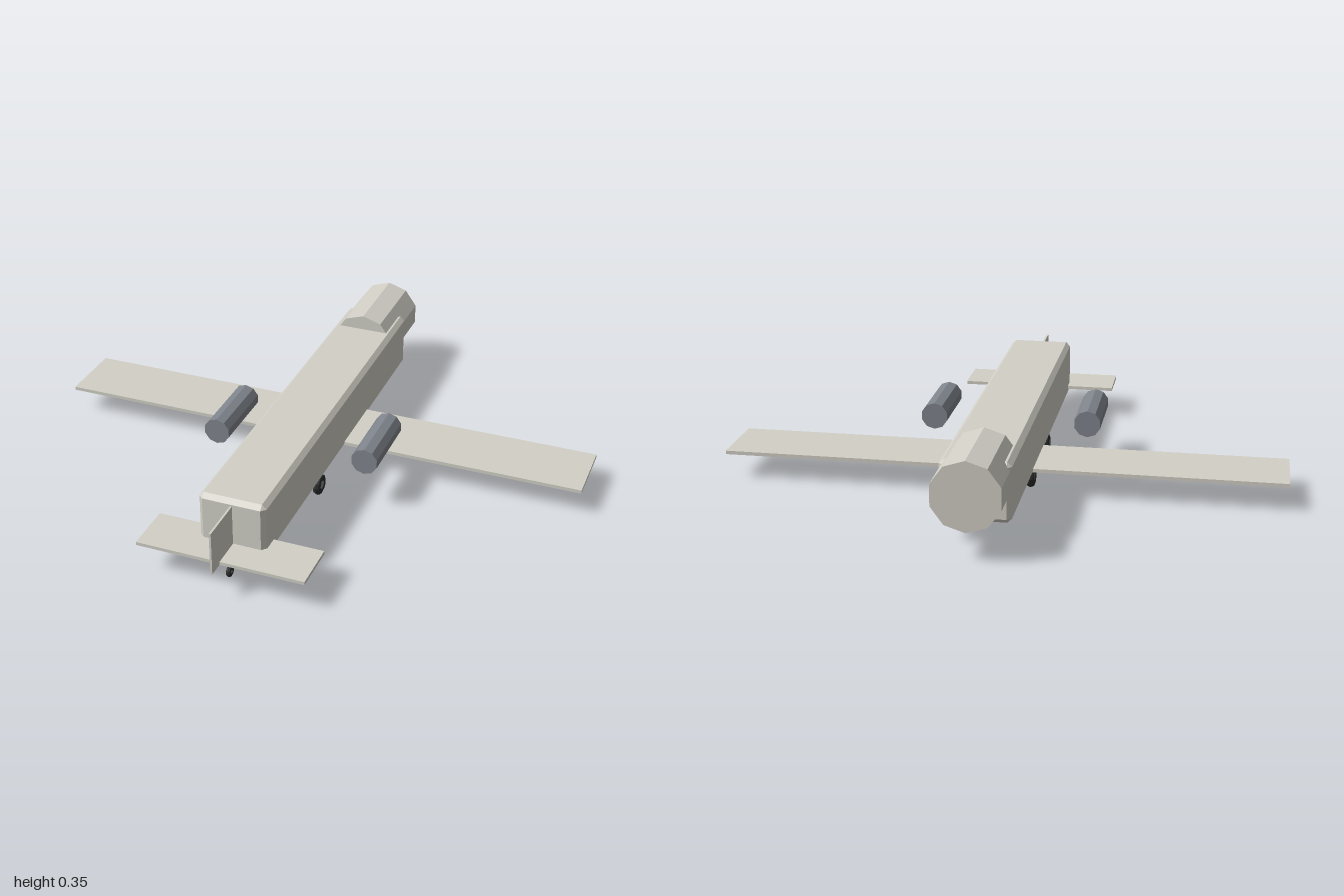
import * as THREE from 'three';
import { ConvexGeometry } from 'three/addons/geometries/ConvexGeometry.js';

const mat = (name, color) => {
  const m = new THREE.MeshStandardMaterial({ color });
  m.name = name;
  return m;
};

// Faceted normals for low-poly parts
function faceted(geo) {
  const g = geo.index ? geo.toNonIndexed() : geo;
  g.computeVertexNormals();
  return g;
}

// Box with chamfered edges, as the hull of 24 corner points
function chamferBox(w, h, d, c) {
  const pts = [];
  for (const x of [-w / 2, w / 2])
    for (const y of [-h / 2, h / 2])
      for (const z of [-d / 2, d / 2]) {
        const ix = x - Math.sign(x) * c, iy = y - Math.sign(y) * c, iz = z - Math.sign(z) * c;
        pts.push(
          new THREE.Vector3(x, iy, iz),
          new THREE.Vector3(ix, y, iz),
          new THREE.Vector3(ix, iy, z)
        );
      }
  return new ConvexGeometry(pts);
}

export function createModel() {
  const model = new THREE.Group();
  model.name = 'aircraft';
  const body = mat('warm light grey', 0xd2d0c6);
  const engineGrey = mat('engine grey', 0x80858d);
  const rubber = mat('tyre black', 0x2b2f2e);
  const hubGrey = mat('hub grey', 0x858a88);

  function add(name, geo, material, x, y, z, parent = model) {
    const mesh = new THREE.Mesh(geo, material);
    mesh.name = name;
    mesh.position.set(x, y, z);
    parent.add(mesh);
    return mesh;
  }

  // Ten-sided drum along z with one ridge at the top
  const drum = (r, length) =>
    faceted(new THREE.CylinderGeometry(r, r, length, 10).rotateX(Math.PI / 2));

  // Fuselage and drum at its end
  add('fuselage', chamferBox(0.238, 0.208, 1.448, 0.016), body, 0, 0.186, -0.008);
  add('noseDrum', drum(0.12, 0.32), body, 0, 0.227, -0.72);
  add('nosePin', new THREE.BoxGeometry(0.164, 0.011, 0.018), rubber, 0, 0.138, -0.79);

  // Flying surfaces
  add('wing', new THREE.BoxGeometry(2, 0.013, 0.25), body, 0, 0.099, -0.155);
  add('tailplane', new THREE.BoxGeometry(0.596, 0.012, 0.178), body, 0, 0.115, 0.735);
  add('fin', new THREE.BoxGeometry(0.007, 0.158, 0.2), body, 0, 0.189, 0.78);

  // Engines
  for (const [side, s] of [['left', 1], ['right', -1]])
    add(side + 'Engine', drum(0.049, 0.267), engineGrey, s * 0.28, 0.202, 0.08);

  // Wheel: faceted tyre round a hub, axle along x
  function wheel(name, x, y, z, r, tube) {
    const g = new THREE.Group();
    g.name = name;
    g.position.set(x, y, z);
    const tyre = new THREE.TorusGeometry(r - tube, tube, 8, 12).rotateY(Math.PI / 2);
    add('tyre', faceted(tyre), rubber, 0, 0, 0, g);
    const hubR = r - tube * 1.6;
    const hub = new THREE.CylinderGeometry(hubR, hubR, tube * 1.6, 8).rotateZ(Math.PI / 2);
    add('hub', faceted(hub), hubGrey, 0, 0, 0, g);
    model.add(g);
  }
  for (const s of [1, -1]) {
    const side = s > 0 ? 'left' : 'right';
    wheel(side + 'RearWheel', s * 0.098, 0.041, 0.172, 0.04, 0.015);
    wheel(side + 'FrontWheel', s * 0.098, 0.041, -0.184, 0.04, 0.015);
  }
  wheel('tailWheel', 0, 0.025, 0.74, 0.021, 0.009);

  return model;
}
